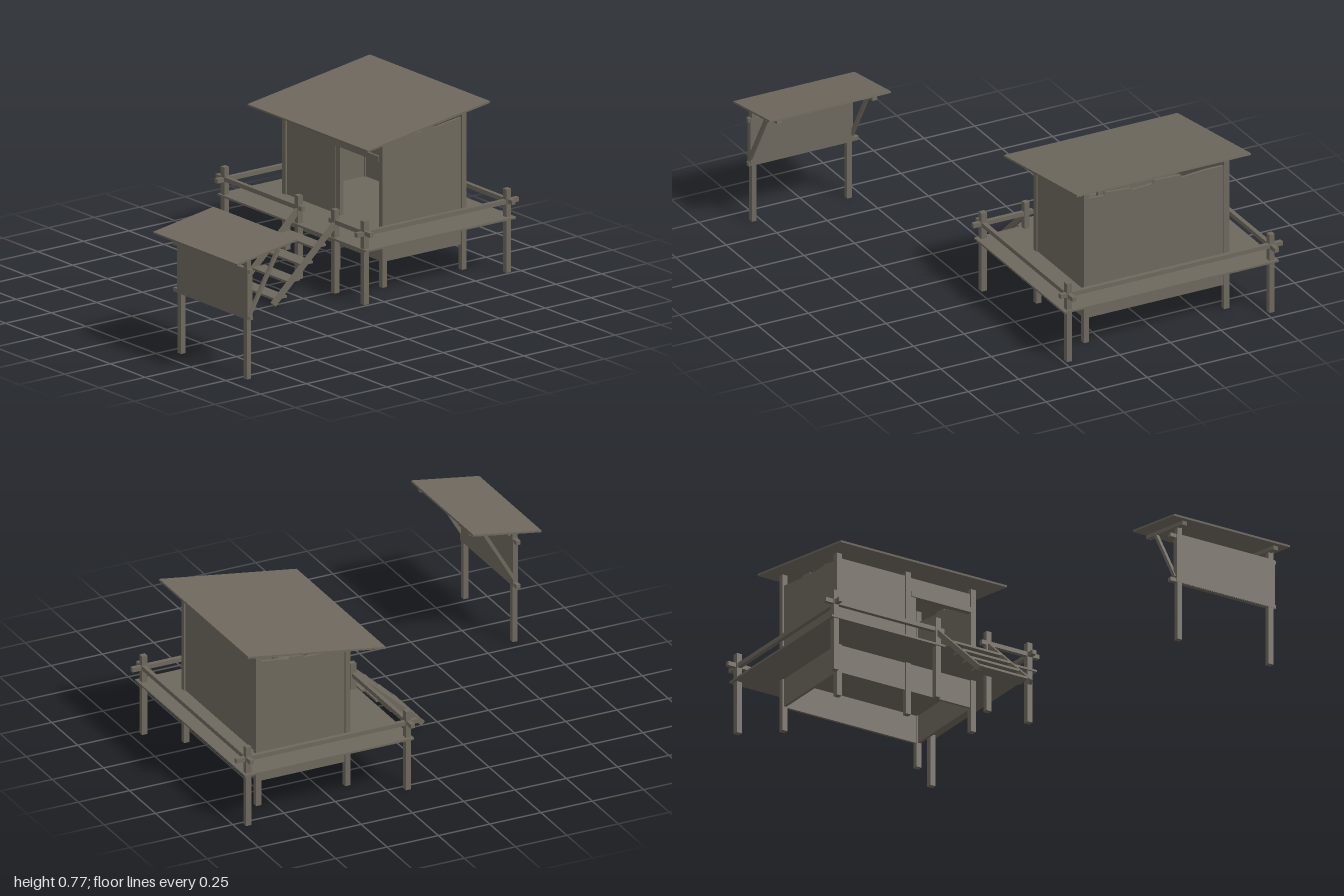
import * as THREE from 'three';

const wood = new THREE.MeshStandardMaterial({ color: 0x6e685d });
wood.name = 'weatheredWood';

export function createModel() {
  const model = new THREE.Group();

  const group = (name) => {
    const g = new THREE.Group();
    g.name = name;
    model.add(g);
    return g;
  };
  const add = (parent, name, geometry) => {
    const mesh = new THREE.Mesh(geometry, wood);
    mesh.name = name;
    parent.add(mesh);
    return mesh;
  };
  // Box given by its lower and upper limits
  const box = (parent, name, x0, x1, y0, y1, z0, z1) => {
    const mesh = add(parent, name, new THREE.BoxGeometry(x1 - x0, y1 - y0, z1 - z0));
    mesh.position.set((x0 + x1) / 2, (y0 + y1) / 2, (z0 + z1) / 2);
    return mesh;
  };
  // Square upright post
  const post = (parent, name, x, z, top, w = 0.026) =>
    box(parent, name, x - w / 2, x + w / 2, 0.005, top, z - w / 2, z + w / 2);
  // Sloped board running from (y0, z0) to (y1, z1)
  const slope = (parent, name, x, width, thick, y0, z0, y1, z1) => {
    const mesh = add(parent, name,
      new THREE.BoxGeometry(width, thick, Math.hypot(y1 - y0, z1 - z0)));
    mesh.position.set(x, (y0 + y1) / 2, (z0 + z1) / 2);
    mesh.rotation.x = -Math.atan2(y1 - y0, z1 - z0);
    return mesh;
  };
  // Thin wall with a ragged top; outline in (along, y)
  const wall = (parent, name, points) => add(parent, name,
    new THREE.ExtrudeGeometry(new THREE.Shape(points.map((p) => new THREE.Vector2(...p))),
      { depth: 0.012, bevelEnabled: false }));

  // Deck, rail posts and crossing rails
  const deck = group('deck');
  box(deck, 'deckFloor', -0.804, 0.257, 0.25, 0.259, -0.967, -0.143);
  for (const x of [-0.777, 0.225]) {
    for (const z of [-0.163, -0.942]) post(deck, 'railPost', x, z, 0.385);
    box(deck, 'sideRail', x - 0.01, x + 0.01, 0.317, 0.337, -1, -0.115);
  }
  box(deck, 'backRail', -0.83, 0.268, 0.32, 0.34, -0.956, -0.936);
  box(deck, 'frontRail', -0.83, -0.215, 0.32, 0.34, -0.172, -0.152);
  box(deck, 'frontRail', -0.022, 0.275, 0.32, 0.34, -0.172, -0.152);

  // Stairs
  const stairs = group('stairs');
  for (const x of [-0.249, 0.013]) post(stairs, 'stairPost', x, -0.163, 0.385);
  for (const x of [-0.246, 0.016]) {
    slope(stairs, 'stringer', x, 0.016, 0.024, 0.014, 0.18, 0.325, -0.165);
  }
  for (let i = 0; i < 4; i++) {
    const y = 0.036 + i * 0.065, z = 0.135 - i * 0.071;
    box(stairs, 'step', -0.24, 0.012, y - 0.005, y + 0.005, z - 0.036, z + 0.036);
  }

  // House posts
  const house = group('house');
  for (const x of [-0.622, 0.072]) {
    post(house, 'frontPost', x, -0.38, 0.688);
    post(house, 'backPost', x, -0.815, 0.755);
  }
  post(house, 'doorPost', -0.263, -0.38, 0.688);

  // Side walls, ragged along the top
  for (const x of [-0.628, 0.066]) {
    const side = wall(house, 'sideWall', [
      [0.38, 0.12], [0.815, 0.12], [0.815, 0.7], [0.7, 0.685], [0.66, 0.678],
      [0.65, 0.687], [0.6, 0.684], [0.59, 0.674], [0.49, 0.668], [0.48, 0.676],
      [0.44, 0.667], [0.38, 0.66]]);
    side.rotation.y = Math.PI / 2;
    side.position.set(x, 0, 0);
  }
  // Back wall
  wall(house, 'backWall', [
    [-0.622, 0.12], [0.072, 0.12], [0.072, 0.7], [-0.02, 0.695], [-0.03, 0.708],
    [-0.15, 0.7], [-0.16, 0.69], [-0.26, 0.695], [-0.27, 0.71], [-0.4, 0.705],
    [-0.41, 0.692], [-0.52, 0.7], [-0.622, 0.7]]).position.z = -0.82;
  // Front wall, with the doorway left open
  const front = -0.387;
  box(house, 'frontWall', -0.622, -0.263, 0.12, 0.668, front, front + 0.012);
  box(house, 'skirtUnderDoor', -0.263, 0.072, 0.12, 0.252, front, front + 0.012);
  box(house, 'panelOverDoor', -0.25, 0.06, 0.595, 0.665, front, front + 0.012);
  box(house, 'doorJamb', -0.25, -0.223, 0.257, 0.595, -0.39, -0.37);
  box(house, 'doorLintel', -0.25, 0.06, 0.573, 0.598, -0.39, -0.364);
  // Lean-to roof
  slope(house, 'houseRoof', -0.272, 0.86, 0.009, 0.67, -0.23, 0.77, -0.9);

  // Roofed notice board
  const board = group('noticeBoard');
  for (const x of [0.311, 0.783]) {
    post(board, 'boardPost', x, 0.907, 0.55, 0.024);
    slope(board, 'rafter', x - 0.008, 0.024, 0.018, 0.54, 0.97, 0.583, 0.68);
  }
  for (const x of [0.296, 0.8]) {
    slope(board, 'brace', x, 0.014, 0.016, 0.3, 0.908, 0.57, 0.75);
  }
  box(board, 'panel', 0.295, 0.803, 0.278, 0.508, 0.894, 0.92);
  for (const y of [0.286, 0.498]) {
    box(board, 'crossBar', 0.265, 0.81, y - 0.009, y + 0.009, 0.897, 0.917);
  }
  slope(board, 'boardRoof', 0.53, 0.6, 0.009, 0.55, 1, 0.602, 0.668);

  return model;
}
